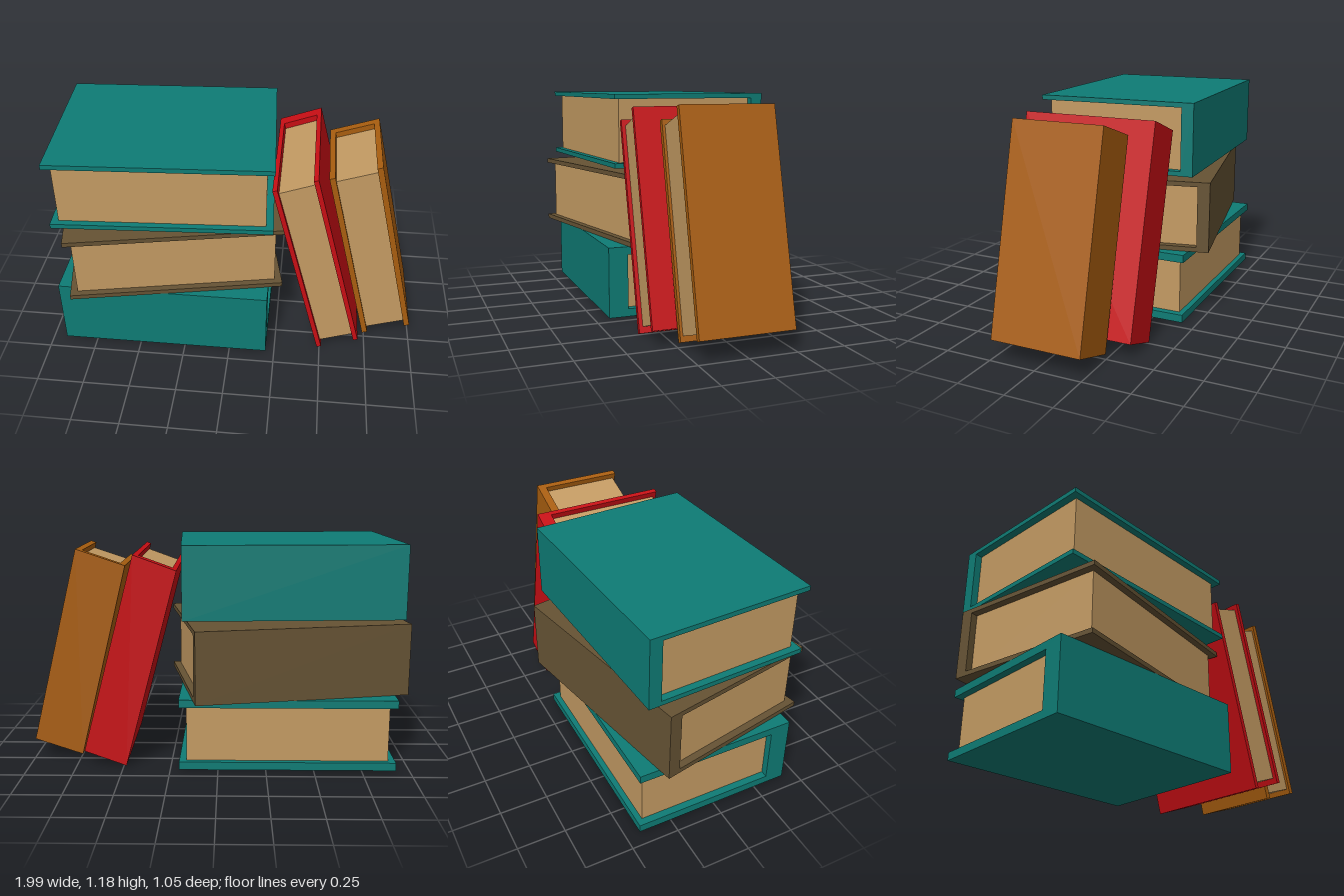
import * as THREE from 'three';

const material = (color) => new THREE.MeshStandardMaterial({ color, flatShading: true });
const paper = material(0xc49b63);
const teal = material(0x0e7c75);

// One closed book: length along x, thickness along y, spine on -z.
// place is a matrix that stands, turns or leans the finished book.
function book(name, { length, thick, depth, board, spine, endGap, foreGap, cover, place }) {
  const group = new THREE.Group();
  group.name = name;
  const h = thick / 2, d = depth / 2;

  // C-shaped cover profile (z across, y up) swept along the length
  const profile = new THREE.Shape([
    [-d, -h], [d, -h], [d, -h + board], [-d + spine, -h + board],
    [-d + spine, h - board], [d, h - board], [d, h], [-d, h],
  ].map(([z, y]) => new THREE.Vector2(z, y)));
  const coverGeo = new THREE.ExtrudeGeometry(profile, { depth: length, bevelEnabled: false })
    .translate(0, 0, -length / 2).rotateY(-Math.PI / 2);
  const coverMesh = new THREE.Mesh(coverGeo.applyMatrix4(place), cover);
  coverMesh.name = name + 'Cover';

  // Block of pages, set back from the ends and the fore edge
  const pageGeo = new THREE.BoxGeometry(length - 2 * endGap, thick - 2 * board, depth - spine - foreGap)
    .translate(0, 0, (spine - foreGap) / 2);
  const pages = new THREE.Mesh(pageGeo.applyMatrix4(place), paper);
  pages.name = name + 'Pages';

  group.add(coverMesh, pages);
  return group;
}

// Lying book: turned about y
const lying = (x, y, z, turn) => new THREE.Matrix4().makeRotationY(turn).setPosition(x, y, z);

// Leaning book: its length and thickness follow two slightly skewed directions
const leaning = (x, y, along, across) => new THREE.Matrix4().makeBasis(
  new THREE.Vector3(...along, 0).normalize(),
  new THREE.Vector3(...across, 0).normalize(),
  new THREE.Vector3(0, 0, 1),
).setPosition(x, y, 0);

export function createModel() {
  const model = new THREE.Group();
  model.name = 'books';

  // Stack of three equal books
  const stacked = { length: 1.13, thick: 0.378, depth: 0.85, board: 0.025, spine: 0.065, endGap: 0.038, foreGap: 0.035 };
  model.add(
    book('bottomBook', { ...stacked, board: 0.042, spine: 0.105, foreGap: 0.03, cover: teal,
      place: lying(-0.362, 0.198, 0, Math.PI) }),
    book('middleBook', { ...stacked, cover: material(0x665334),
      place: lying(-0.36, 0.577, -0.004, 0.196) }),
    book('topBook', { ...stacked, cover: teal,
      place: lying(-0.362, 0.992, -0.003, 0.053) }),
  );

  // Two books leaning against the stack
  model.add(
    book('innerLeaningBook', { length: 1.076, thick: 0.235, depth: 0.72, board: 0.025, spine: 0.07,
      endGap: 0.032, foreGap: 0.02, cover: material(0xc80e14),
      place: leaning(0.459, 0.564, [0.277, -1.04], [0.222, 0.081]) }),
    book('outerLeaningBook', { length: 1.062, thick: 0.269, depth: 0.485, board: 0.03, spine: 0.045,
      endGap: 0.03, foreGap: 0.014, cover: material(0xa95e0f),
      place: leaning(0.74, 0.583, [0.255, -1.031], [0.255, 0.086]) }),
  );
  return model;
}
